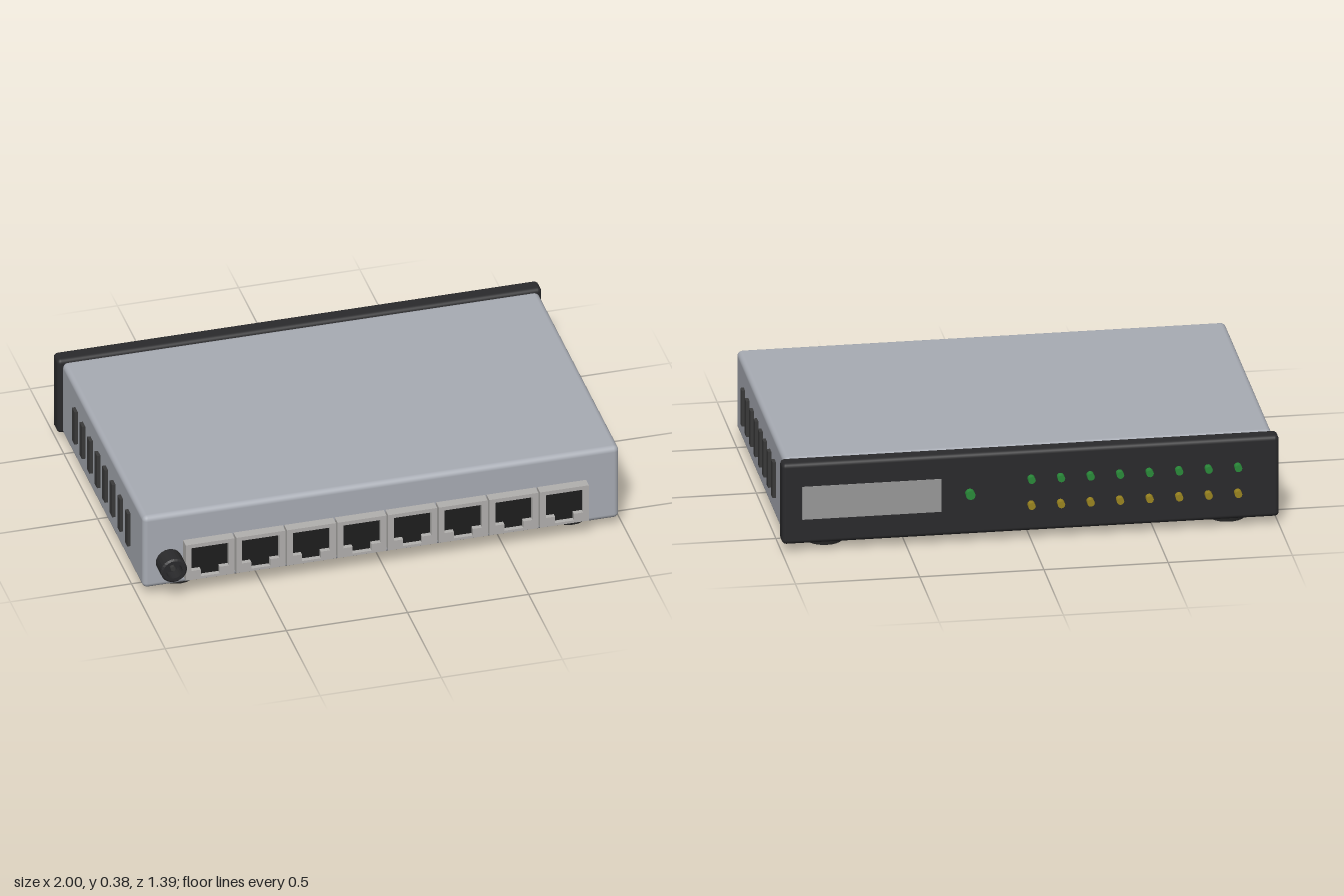
import * as THREE from 'three';
import { RoundedBoxGeometry } from 'three/addons/geometries/RoundedBoxGeometry.js';

const mat = (color) => new THREE.MeshStandardMaterial({ color });

export function createModel() {
  const model = new THREE.Group();
  const shell = mat(0xa8acb4), black = mat(0x2a2a2c), rubber = mat(0x222222), slotDark = mat(0x3a3a3a);
  const metal = mat(0xb2b0ae), portDark = mat(0x1e1e1e), green = mat(0x2a8a3a), yellow = mat(0x9a8420);

  const add = (name, geometry, material, x, y, z, parent = model) => {
    const mesh = new THREE.Mesh(geometry, material);
    mesh.name = name;
    mesh.position.set(x, y, z);
    parent.add(mesh);
    return mesh;
  };
  const group = (name) => {
    const g = new THREE.Group();
    g.name = name;
    model.add(g);
    return g;
  };

  // Main case and the wider dark panel behind it
  add('case', new RoundedBoxGeometry(1.966, 0.335, 1.205, 3, 0.022), shell, 0, 0.2075, 0.0105);
  add('indicatorPanel', new RoundedBoxGeometry(2, 0.345, 0.073, 3, 0.018), black, 0, 0.2075, -0.629);
  add('panelLabel', new THREE.BoxGeometry(0.56, 0.14, 0.006), mat(0x999999), 0.64, 0.21, -0.665);
  add('bottomLabel', new THREE.BoxGeometry(0.82, 0.004, 0.5), mat(0xaca8a0), 0, 0.039, 0.01);

  // Four rubber feet
  const feet = group('feet');
  const footGeo = new THREE.CylinderGeometry(0.075, 0.075, 0.044, 24);
  for (const x of [-0.81, 0.81])
    for (const z of [-0.525, 0.475]) add('foot', footGeo, rubber, x, 0.022, z, feet);

  // Vent slots on both sides
  const vents = group('ventSlots');
  const slotGeo = new THREE.BoxGeometry(0.03, 0.152, 0.037);
  for (const side of [-1, 1])
    for (let i = 0; i < 8; i++) add('ventSlot', slotGeo, slotDark, side * 0.982, 0.207, 0.41 - i * 0.112, vents);

  // Eight network ports: a metal frame with a notched opening and a dark inside
  const ports = group('ports');
  const frame = new THREE.Shape([
    [-0.101, -0.083], [0.101, -0.083], [0.101, 0.083], [-0.101, 0.083],
  ].map(([x, y]) => new THREE.Vector2(x, y)));
  const opening = [
    [-0.077, 0.066], [0.077, 0.066], [0.077, -0.041], [0.039, -0.041],
    [0.039, -0.072], [-0.039, -0.072], [-0.039, -0.041], [-0.077, -0.041],
  ].map(([x, y]) => new THREE.Vector2(x, y));
  frame.holes.push(new THREE.Path(opening));
  const frameGeo = new THREE.ExtrudeGeometry(frame, { depth: 0.05, bevelEnabled: false });
  const insideGeo = new THREE.ExtrudeGeometry(new THREE.Shape(opening), { depth: 0.03, bevelEnabled: false });
  for (let i = 0; i < 8; i++) {
    const x = -0.718 + i * 0.2089;
    add('portFrame', frameGeo, metal, x, 0.161, 0.605, ports);
    add('portInside', insideGeo, portDark, x, 0.161, 0.605, ports);
  }

  // Round power socket with a hollow centre and a contact pin
  const socket = group('powerSocket');
  const profile = [[0.054, 0], [0.054, 0.083], [0.047, 0.09], [0.033, 0.09], [0.033, 0.04], [0, 0.04]];
  const socketGeo = new THREE.LatheGeometry(profile.map(([r, y]) => new THREE.Vector2(r, y)), 24);
  const socketMat = black.clone();
  socketMat.flatShading = true;
  socketMat.side = THREE.DoubleSide;
  add('socketBarrel', socketGeo, socketMat, -0.877, 0.157, 0.605, socket).rotation.x = Math.PI / 2;
  add('socketPin', new THREE.CylinderGeometry(0.01, 0.01, 0.035, 12), slotDark, -0.877, 0.157, 0.66, socket)
    .rotation.x = Math.PI / 2;

  // Indicator lights: two rows of eight and one larger power light
  const lights = group('indicatorLights');
  const light = (name, r, material, x, y) => {
    add(name, new THREE.CylinderGeometry(r, r, 0.04, 12), material, x, y, -0.675, lights).rotation.x = Math.PI / 2;
  };
  for (let i = 0; i < 8; i++) {
    const x = -0.832 + i * 0.1188;
    light('linkLight', 0.015, green, x, 0.262);
    light('speedLight', 0.015, yellow, x, 0.151);
  }
  light('powerLight', 0.019, green, 0.246, 0.213);

  return model;
}
